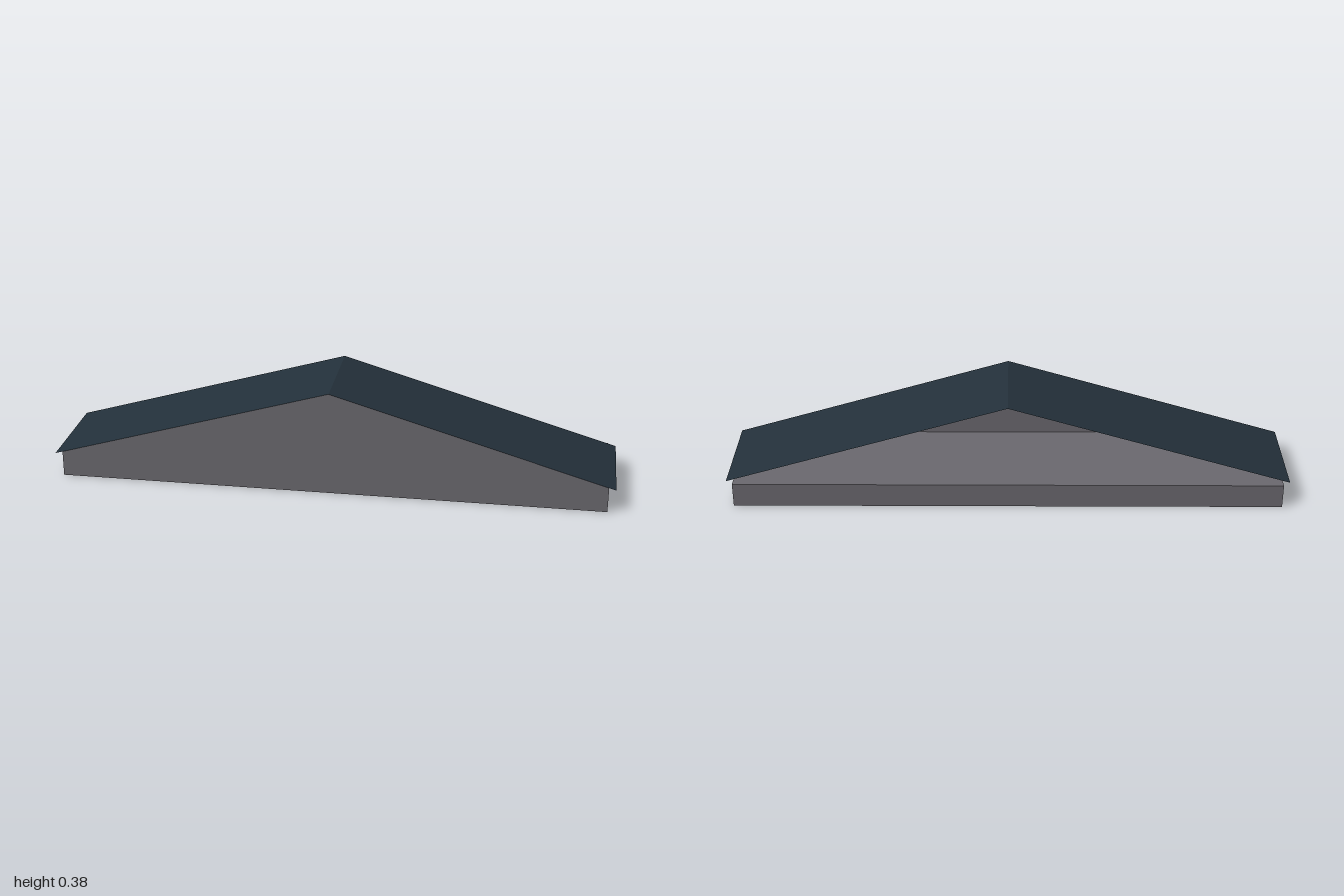
import * as THREE from 'three';

const HALF_W = 0.975, EAVE = 0.087, RIDGE = 0.38;
const roofY = (x) => RIDGE - (RIDGE - EAVE) * Math.abs(x);

export function createModel() {
  const model = new THREE.Group();
  model.name = 'gableRoof';

  const wallGrey = new THREE.MeshStandardMaterial({ color: 0x69676d, side: THREE.DoubleSide, flatShading: true });
  wallGrey.name = 'wall grey';
  const roofSlate = new THREE.MeshStandardMaterial({ color: 0x23303a, side: THREE.DoubleSide, flatShading: true });
  roofSlate.name = 'roof slate';

  const add = (name, geometry, material) => {
    const mesh = new THREE.Mesh(geometry, material);
    mesh.name = name;
    model.add(mesh);
  };

  // Low slab under the roof, its top open to the back
  const base = new THREE.BoxGeometry(HALF_W * 2, EAVE, 0.391);
  base.translate(0, EAVE / 2, -0.0015);
  add('base', base, wallGrey);

  // Front wall rising in one face to the ridge
  const outline = new THREE.Shape([
    new THREE.Vector2(-HALF_W, 0),
    new THREE.Vector2(HALF_W, 0),
    new THREE.Vector2(HALF_W, roofY(HALF_W)),
    new THREE.Vector2(0, RIDGE),
    new THREE.Vector2(-HALF_W, roofY(HALF_W)),
  ]);
  const gable = new THREE.ShapeGeometry(outline);
  gable.translate(0, 0, 0.195);
  add('frontGable', gable, wallGrey);

  // Thin roof sheet folded along the ridge
  const sheet = new THREE.PlaneGeometry(2, 0.375, 2, 1);
  sheet.rotateX(-Math.PI / 2);
  sheet.translate(0, 0, 0.0125);
  const p = sheet.attributes.position;
  for (let i = 0; i < p.count; i++) p.setY(i, roofY(p.getX(i)));
  const roof = sheet.toNonIndexed();
  roof.computeVertexNormals();
  add('roof', roof, roofSlate);

  return model;
}
